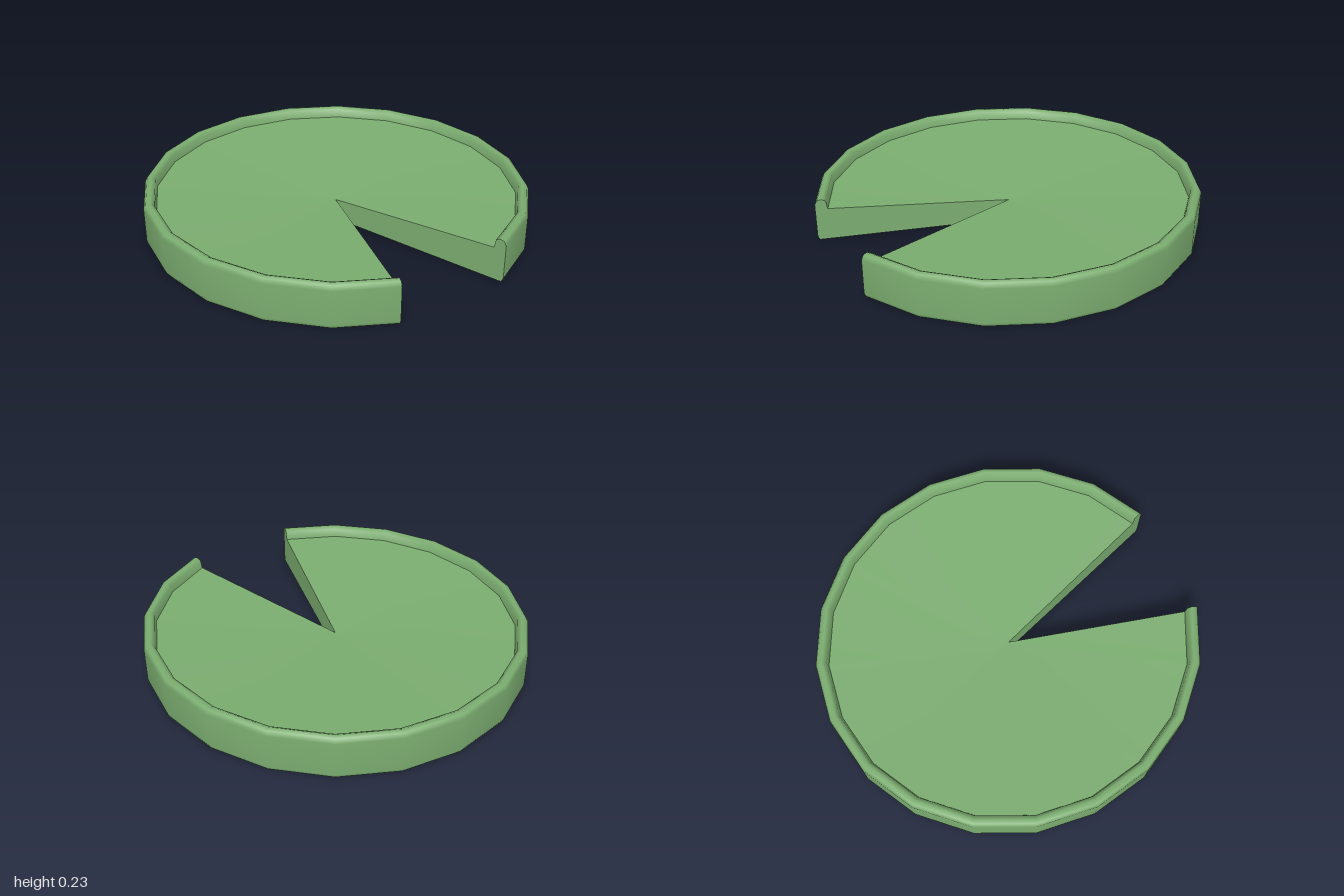
import * as THREE from 'three';

export function createModel() {
  const group = new THREE.Group();
  group.name = 'lilyPad';
  const material = new THREE.MeshStandardMaterial({ color: 0x7bad70, side: THREE.DoubleSide });

  const segments = 18;                       // 18 of 20 wedges, the notch takes two
  const notch = Math.PI / 5;
  const v = ([x, y]) => new THREE.Vector2(x, y);

  // Half cross-section, from the bottom centre out and over the rim
  const base = [[0, 0], [0.99, 0]];
  const wall = [[0.99, 0], [1, 0.02], [1, 0.2], [0.988, 0.222], [0.965, 0.226], [0.945, 0.215], [0.937, 0.172]];
  const surface = [[0.937, 0.172], [0, 0.113]];

  const add = (name, geometry) => {
    const mesh = new THREE.Mesh(geometry, material);
    mesh.name = name;
    group.add(mesh);
    return mesh;
  };

  // Swept parts; separate strips keep the edges between them sharp
  const sweep = (name, points) => add(name, new THREE.LatheGeometry(
    points.map(v), segments, -1.5 * Math.PI, 2 * Math.PI - notch));
  sweep('underside', base);
  sweep('rim', wall);
  sweep('padSurface', surface);

  // Flat walls closing both sides of the notch
  const section = new THREE.Shape([...base, ...wall.slice(1), surface[1]].map(v));
  add('notchWallBack', new THREE.ShapeGeometry(section));
  add('notchWallFront', new THREE.ShapeGeometry(section)).rotation.y = -notch;

  group.scale.z = 0.977;                     // slightly oval
  return group;
}
